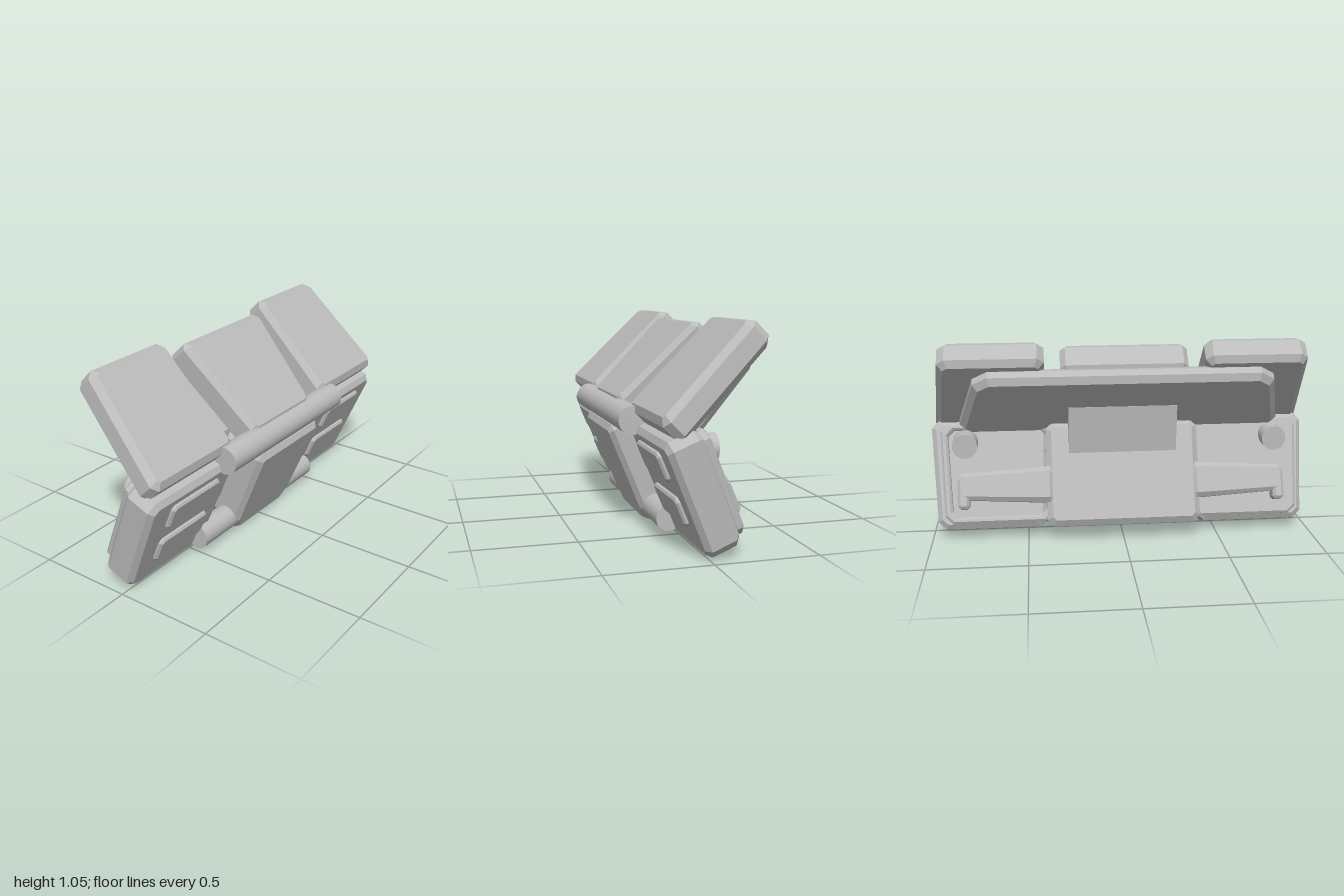
import * as THREE from 'three';

export function createModel() {
  const grey = new THREE.MeshStandardMaterial({ color: 0xbcbcbc });
  grey.name = 'plain grey';

  function add(parent, geo, name) {
    const mesh = new THREE.Mesh(geo, grey);
    mesh.name = name;
    parent.add(mesh);
    return mesh;
  }

  // Four-sided outline with cut corners: lower and upper edge, each from x0 to x1
  function outline([a0, a1, y0], [b0, b1, y1], cut) {
    const corners = [[a0, y0], [a1, y0], [b1, y1], [b0, y1]].map((p) => new THREE.Vector2(...p));
    const points = [];
    corners.forEach((c, i) => {
      for (const other of [corners[(i + 3) % 4], corners[(i + 1) % 4]]) {
        points.push(c.clone().add(other.clone().sub(c).setLength(cut)));
      }
    });
    return points;
  }

  // Plate with chamfered rims, lying between two depths
  function slab(parent, name, points, back, front, bevel, hole) {
    const shape = new THREE.Shape(points);
    if (hole) shape.holes.push(new THREE.Path(hole));
    const geo = new THREE.ExtrudeGeometry(shape, {
      depth: front - back - 2 * bevel, bevelEnabled: bevel > 0, bevelThickness: bevel,
      bevelSize: bevel, bevelOffset: -bevel, bevelSegments: 1,
    });
    geo.translate(0, 0, back + bevel);
    return add(parent, geo, name);
  }

  const edge = (s, a, b, y) => [s * a, s * b, y];

  const model = new THREE.Group();
  model.name = 'foldingPanels';
  const lower = new THREE.Group();
  lower.name = 'lowerSection';
  lower.rotation.x = Math.PI / 8;
  const upper = new THREE.Group();
  upper.name = 'upperSection';
  upper.rotation.x = -Math.PI / 4;
  model.add(lower, upper);

  for (const s of [1, -1]) {
    const side = s > 0 ? 'left' : 'right';

    // Lower side box
    slab(lower, side + 'LowerBox',
      outline(edge(s, 0.4, 0.965, 0), edge(s, 0.38, 1.0, 0.575), 0.04), -0.165, 0.006, 0.025);

    // Open tray rim on its back
    slab(lower, side + 'TrayRim',
      outline(edge(s, 0.37, 0.925, 0.025), edge(s, 0.37, 0.95, 0.55), 0.04), -0.207, -0.16, 0.012,
      outline(edge(s, 0.4, 0.885, 0.06), edge(s, 0.4, 0.91, 0.515), 0.03));

    // Raised pads on the front
    for (const u of [0.145, 0.37]) {
      slab(lower, side + 'FrontPad',
        outline(edge(s, 0.5, 0.85, u), edge(s, 0.5, 0.85, u + 0.148), 0.02), -0.01, 0.027, 0.01);
    }

    // Tapered block lying in the tray
    const block = slab(lower, side + 'TrayBlock',
      outline(edge(s, 0.36, 0.86, 0.12), edge(s, 0.36, 0.86, 0.31), 0.02), -0.285, -0.15, 0.025);
    const pos = block.geometry.attributes.position;
    for (let i = 0; i < pos.count; i++) {
      const t = (Math.abs(pos.getX(i)) - 0.36) / 0.5;
      pos.setZ(i, -0.15 + (pos.getZ(i) + 0.15) * (1 - 0.35 * t));
      pos.setY(i, 0.22 + (pos.getY(i) - 0.22) * (1 - 0.3 * t));
    }
    block.geometry.computeVertexNormals();
    slab(lower, side + 'TrayPost',
      outline(edge(s, 0.8, 0.86, 0.1), edge(s, 0.8, 0.86, 0.27), 0.015), -0.24, -0.15, 0.015);

    // Round stud in the outer top corner of the tray
    const stud = add(model, new THREE.CylinderGeometry(0.065, 0.065, 0.14, 32), side + 'TrayStud');
    stud.rotation.x = Math.PI / 2;
    stud.position.set(s * 0.82, 0.483, 0.01);

    // Upper side panel
    slab(upper, side + 'UpperPanel',
      outline(edge(s, 0.4, 0.985, 0.27), edge(s, 0.4, 0.915, 0.895), 0.035), 0.465, 0.612, 0.03);
  }

  // Centre of the lower section: front plate, inner shoulder and back block
  slab(lower, 'centreFrontPlate', [
    [-0.2, 0.025], [0.2, 0.025], [0.25, 0.1], [0.272, 0.55], [0.25, 0.58],
    [-0.25, 0.58], [-0.272, 0.55], [-0.25, 0.1],
  ].map((p) => new THREE.Vector2(...p)), -0.17, 0.088, 0.025);
  slab(lower, 'centreShoulder',
    outline([-0.33, 0.33, 0.17], [-0.33, 0.33, 0.39], 0.045), -0.17, -0.06, 0.02);
  slab(lower, 'centreBackBlock',
    outline([-0.4, 0.4, -0.005], [-0.4, 0.4, 0.54], 0.035), -0.272, -0.145, 0.03);

  // Upper section: centre panel and wide backing plate
  slab(upper, 'upperCentrePanel',
    outline([-0.255, 0.255, 0.26], [-0.325, 0.325, 0.835], 0.03), 0.465, 0.628, 0.028);
  slab(upper, 'upperBackingPlate',
    outline([-0.86, 0.86, 0.34], [-0.74, 0.74, 0.838], 0.06), 0.395, 0.49, 0.03);

  // Strut joining the backing plate to the back block
  const profile = new THREE.Shape([
    [0.145, 0.7], [0.115, 0.45], [0.02, 0.45], [-0.02, 0.58], [0.08, 0.7],
  ].map((p) => new THREE.Vector2(...p)));
  const strut = new THREE.ExtrudeGeometry(profile, { depth: 0.56, bevelEnabled: false });
  strut.translate(0, 0, -0.28).rotateY(Math.PI / 2);
  add(model, strut, 'strut');

  // Hinge rods
  for (const [name, r, y, z] of [['upperRod', 0.07, 0.566, 0.23], ['lowerRod', 0.065, 0.08, 0.05]]) {
    const rod = add(model, new THREE.CylinderGeometry(r, r, 0.99, 40), name);
    rod.rotation.z = Math.PI / 2;
    rod.position.set(0, y, z);
  }

  return model;
}
